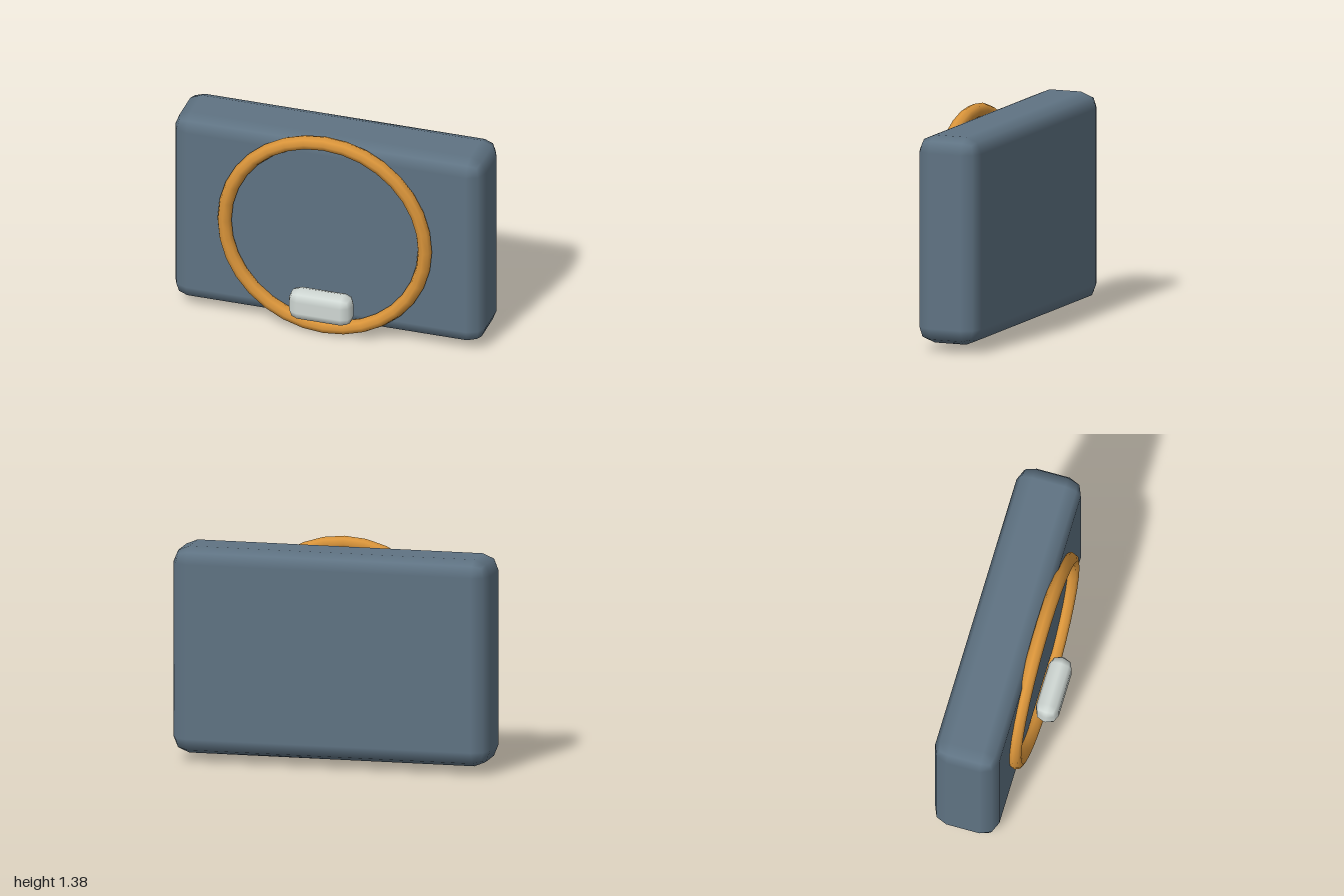
import * as THREE from 'three';
import { RoundedBoxGeometry } from 'three/addons/geometries/RoundedBoxGeometry.js';

export function createModel() {
  const model = new THREE.Group();

  const add = (name, geometry, color, x, y, z) => {
    const mesh = new THREE.Mesh(geometry, new THREE.MeshStandardMaterial({ color }));
    mesh.name = name;
    mesh.position.set(x, y, z);
    model.add(mesh);
    return mesh;
  };

  // Slab body with softly bevelled edges
  add('body', new RoundedBoxGeometry(2, 1.29, 0.41, 1, 0.1), 0x5f7383, 0, 0.697, -0.08);

  // Ring resting on the front face
  add('frontRing', new THREE.TorusGeometry(0.645, 0.045, 8, 32), 0xd9943a, 0, 0.695, 0.145);

  // Small latch inside the bottom of the ring
  add('latch', new RoundedBoxGeometry(0.41, 0.205, 0.145, 1, 0.065), 0xd0d8d4, 0, 0.227, 0.2125);

  return model;
}
